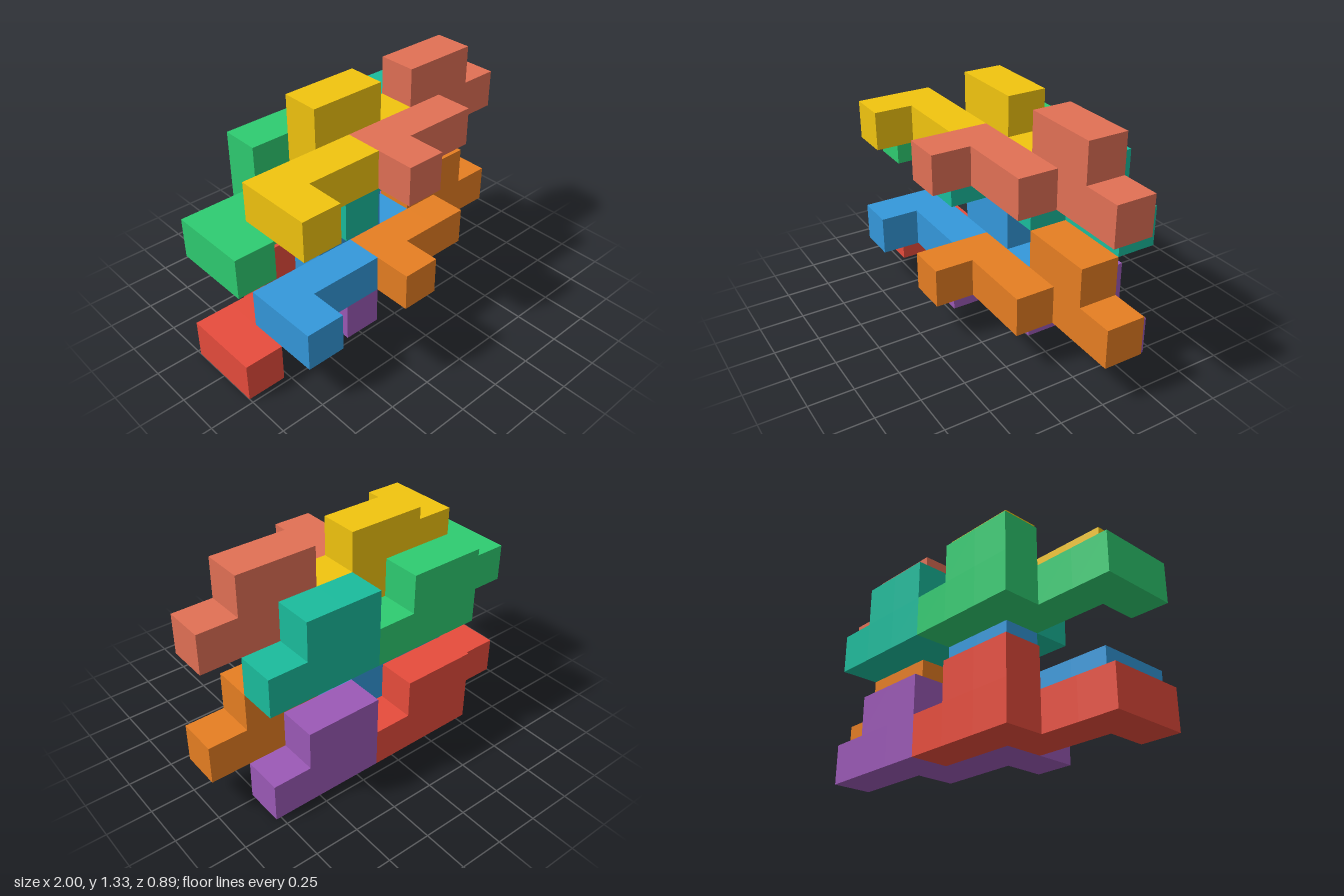
import * as THREE from 'three';
import { mergeGeometries } from 'three/addons/utils/BufferGeometryUtils.js';

const U = 2 / 9; // edge of one cube cell

// Cells of the interlocking piece as [x, y, z]
const CELLS = [
  [0, 0, 2],                          // front prong
  [0, 0, 1], [1, 0, 1], [2, 0, 1],    // middle bar
  [2, 0, 0], [3, 0, 0], [4, 0, 0],    // back bar
  [2, 1, 0], [3, 1, 0],               // raised ridge
];

const SIDES = [[1, 0, 0], [-1, 0, 0], [0, 1, 0], [0, -1, 0], [0, 0, 1], [0, 0, -1]];

// Outer skin of the piece: a square on each cell side that has no neighbour
function pieceGeometry() {
  const filled = new Set(CELLS.map(String));
  const forward = new THREE.Vector3(0, 0, 1);
  const faces = [];
  for (const cell of CELLS) {
    for (const side of SIDES) {
      if (filled.has(String(cell.map((c, i) => c + side[i])))) continue;
      const normal = new THREE.Vector3(...side);
      const turn = new THREE.Quaternion();
      if (side[2] === -1) turn.setFromAxisAngle(new THREE.Vector3(0, 1, 0), Math.PI);
      else turn.setFromUnitVectors(forward, normal);
      const centre = cell.map((c, i) => (c + 0.5 + side[i] / 2) * U);
      faces.push(new THREE.PlaneGeometry(U, U).applyQuaternion(turn).translate(...centre));
    }
  }
  return mergeGeometries(faces);
}

// Name, colour and cell offset of each piece
const PIECES = [
  ['redPiece', 0xe74c3c, [0, 0, 0]],
  ['purplePiece', 0x9b59b6, [3, 0, 0]],
  ['bluePiece', 0x3498db, [1, 1, 1]],
  ['orangePiece', 0xe67e22, [4, 1, 1]],
  ['greenPiece', 0x2ecc71, [0, 3, 0]],
  ['tealPiece', 0x1abc9c, [3, 3, 0]],
  ['yellowPiece', 0xf1c40f, [1, 4, 1]],
  ['coralPiece', 0xe17055, [4, 4, 1]],
];

export function createModel() {
  const model = new THREE.Group();
  model.name = 'interlockingBlocks';
  const geometry = pieceGeometry();
  for (const [name, color, [x, y, z]] of PIECES) {
    const piece = new THREE.Mesh(geometry, new THREE.MeshStandardMaterial({ color }));
    piece.name = name;
    piece.position.set((x - 4.5) * U, y * U, (z - 2) * U);
    model.add(piece);
  }
  return model;
}
